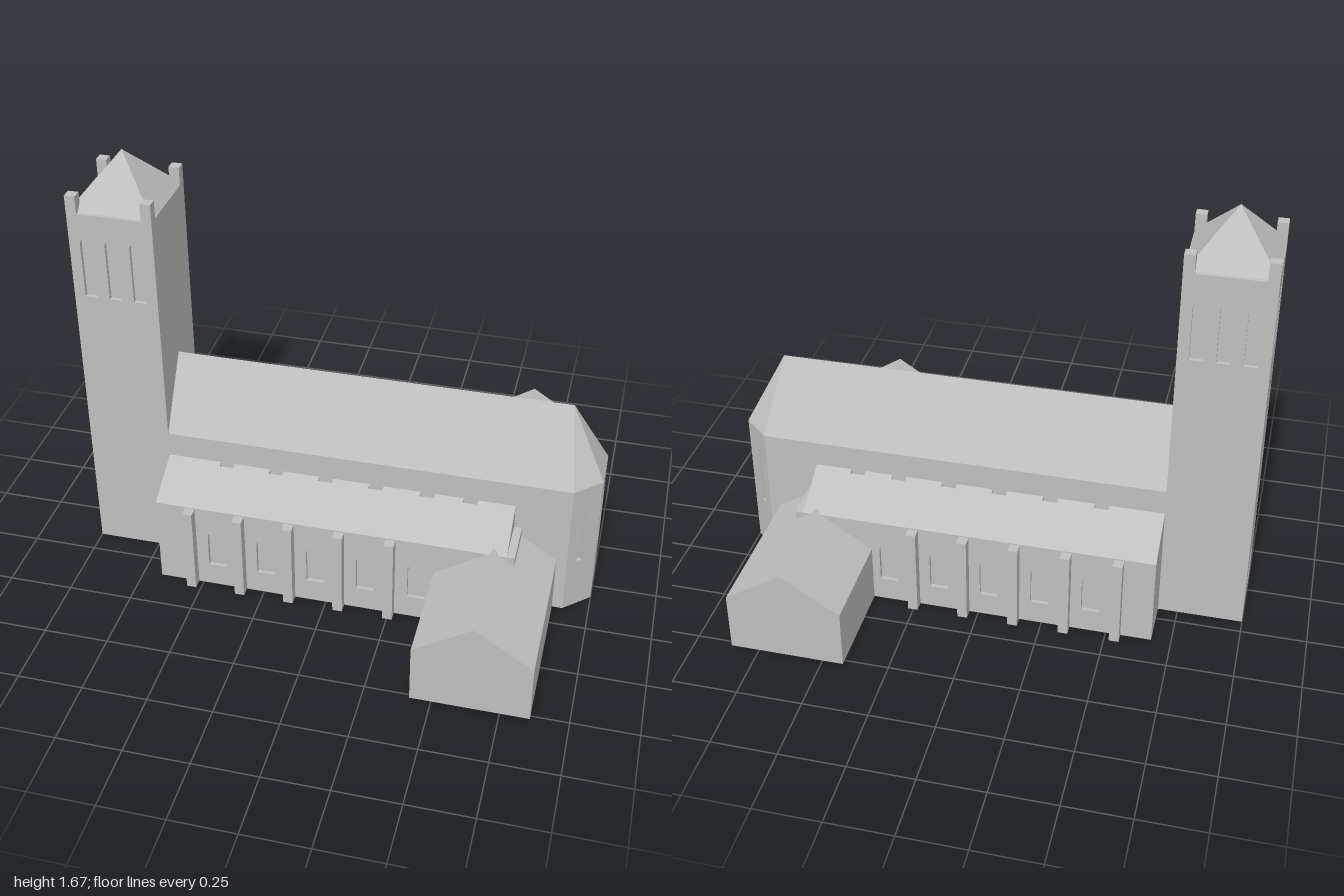
import * as THREE from 'three';
import { ConvexGeometry } from 'three/addons/geometries/ConvexGeometry.js';

const stone = new THREE.MeshStandardMaterial({ color: 0xbfbfbf });
stone.name = 'stone grey';

const DEPTH = 0.015; // depth of the window recesses
const HALF = 0.175; // half width of nave and tower
const AISLE = 0.357; // half width across the aisles

export function createModel() {
  const church = new THREE.Group();
  church.name = 'church';
  church.position.z = -0.018;

  const add = (name, geometry) => {
    const mesh = new THREE.Mesh(geometry, stone);
    mesh.name = name;
    church.add(mesh);
    return mesh;
  };

  // Box given by its limits on each axis
  const box = (name, x0, x1, y0, y1, z0, z1) =>
    add(name, new THREE.BoxGeometry(x1 - x0, y1 - y0, z1 - z0)
      .translate((x0 + x1) / 2, (y0 + y1) / 2, (z0 + z1) / 2));

  const polygon = (points) => new THREE.Shape(points.map(([x, y]) => new THREE.Vector2(x, y)));
  const extrude = (shape, depth) =>
    new THREE.ExtrudeGeometry(shape, { depth, bevelEnabled: false, curveSegments: 10 });

  // Round-headed opening
  const arch = ([x, y0, y1, w]) => {
    const r = w / 2;
    const path = new THREE.Path();
    path.moveTo(x - r, y0);
    path.lineTo(x + r, y0);
    path.lineTo(x + r, y1 - r);
    path.absarc(x, y1 - r, r, 0, Math.PI, false);
    path.lineTo(x - r, y0);
    return path;
  };

  // Wall skin with arched openings; its outer face lies on local z = 0
  const wall = (name, x0, x1, height, openings, position, angle) => {
    const shape = polygon([[x0, 0], [x1, 0], [x1, height], [x0, height]]);
    shape.holes = openings.map(arch);
    const mesh = add(name, extrude(shape, DEPTH).translate(0, 0, -DEPTH));
    mesh.position.set(...position);
    mesh.rotation.y = angle;
  };

  // Tower
  const tx = -0.8375, tw = 0.1625, top = 1.485;
  const belfry = [-0.095, 0, 0.095].map((x) => [x, 1.145, 1.39, 0.05]);
  box('towerCore', -1 + DEPTH, -0.675, 0, top, -HALF + DEPTH, HALF - DEPTH);
  wall('towerFrontWall', -tw, tw, top, belfry, [tx, 0, HALF], 0);
  wall('towerBackWall', -tw, tw, top, belfry, [tx, 0, -HALF], Math.PI);
  wall('towerEntranceWall', -HALF, HALF, top, [...belfry, [0, 0.05, 0.22, 0.1]],
    [-1, 0, 0], -Math.PI / 2);
  for (const sx of [-1, 1]) {
    for (const sz of [-1, 1]) {
      const x = tx + sx * (tw - 0.02), z = sz * (HALF - 0.02);
      box('towerPinnacle', x - 0.02, x + 0.02, top, 1.555, z - 0.02, z + 0.02);
    }
  }
  const corners = [[-1, -1], [1, -1], [1, 1], [-1, 1]];
  add('towerRoof', new ConvexGeometry([
    ...corners.map(([a, b]) => new THREE.Vector3(tx + a * 0.16, top, b * 0.16)),
    new THREE.Vector3(tx, 1.675, 0),
  ]));

  // Nave with a faceted apse
  const eave = 0.565;
  const half = [[-0.675, HALF], [0.9, HALF], [0.89, 0.164], [0.985, 0.078]];
  const footprint = [...half, ...half.map(([x, z]) => [x, -z]).reverse()];
  add('naveWalls', extrude(polygon(footprint), eave).rotateX(-Math.PI / 2));
  wall('apseEndWall', -0.085, 0.085, eave, [[0, 0.22, 0.465, 0.075]], [1, 0, 0], Math.PI / 2);
  const facet = Math.hypot(0.1, 0.09) / 2;
  for (const s of [-1, 1]) {
    const angle = Math.PI / 2 - s * Math.atan2(0.1, 0.09);
    wall('apseSideWall', -facet, facet, eave, [[-s * 0.01, 0.22, 0.465, 0.022]],
      [0.95, 0, s * 0.13], angle);
  }
  const roofPoints = [[-0.675, 0.835, 0], [0.86, 0.835, 0]];
  for (const s of [-1, 1]) {
    roofPoints.push([-0.675, eave, s * HALF], [0.9, eave, s * HALF], [1, eave, s * 0.085]);
  }
  add('naveRoof', new ConvexGeometry(roofPoints.map((p) => new THREE.Vector3(...p))));

  // Side aisles, mirrored
  const bays = [-0.437, -0.24, -0.042, 0.155, 0.355];
  const low = 0.365, high = 0.465;
  box('aisleCore', -0.675, 0.72, 0, low, -AISLE + DEPTH, AISLE - DEPTH);
  for (const s of [-1, 1]) {
    const [x0, x1] = s > 0 ? [-0.675, 0.72] : [-0.72, 0.675];
    wall('aisleWall', x0, x1, low, bays.map((x) => [s * x, 0.095, 0.265, 0.07]),
      [0, 0, s * AISLE], s > 0 ? 0 : Math.PI);

    // Lean-to roof, cut back by a small notch above every bay
    const roofPiece = (a, b, inner) => {
      const y = low + (high - low) * (AISLE - inner) / (AISLE - HALF);
      const points = [];
      for (const x of [a, b]) {
        points.push(new THREE.Vector3(x, low, s * inner), new THREE.Vector3(x, y, s * inner),
          new THREE.Vector3(x, low, s * AISLE));
      }
      add('aisleRoof', new ConvexGeometry(points));
    };
    let start = -0.675;
    for (const x of [...bays, 0.52]) {
      roofPiece(start, x - 0.028, HALF);
      roofPiece(x - 0.028, x + 0.028, HALF + 0.016);
      start = x + 0.028;
    }
    roofPiece(start, 0.69, HALF);

    // Buttresses between the bays
    for (let i = 0; i < 5; i++) {
      const x = -0.538 + i * 0.1975;
      const z = s * (AISLE + 0.015);
      box('buttress', x - 0.019, x + 0.019, 0, 0.36, z - 0.025, z + 0.025);
    }
  }

  // Transept
  add('transept', extrude(polygon([
    [0.42, 0], [0.86, 0], [0.86, 0.235], [0.64, 0.378], [0.42, 0.235],
  ]), 1.535).translate(0, 0, -0.752));

  const model = new THREE.Group();
  model.name = 'churchModel';
  model.add(church);
  return model;
}
